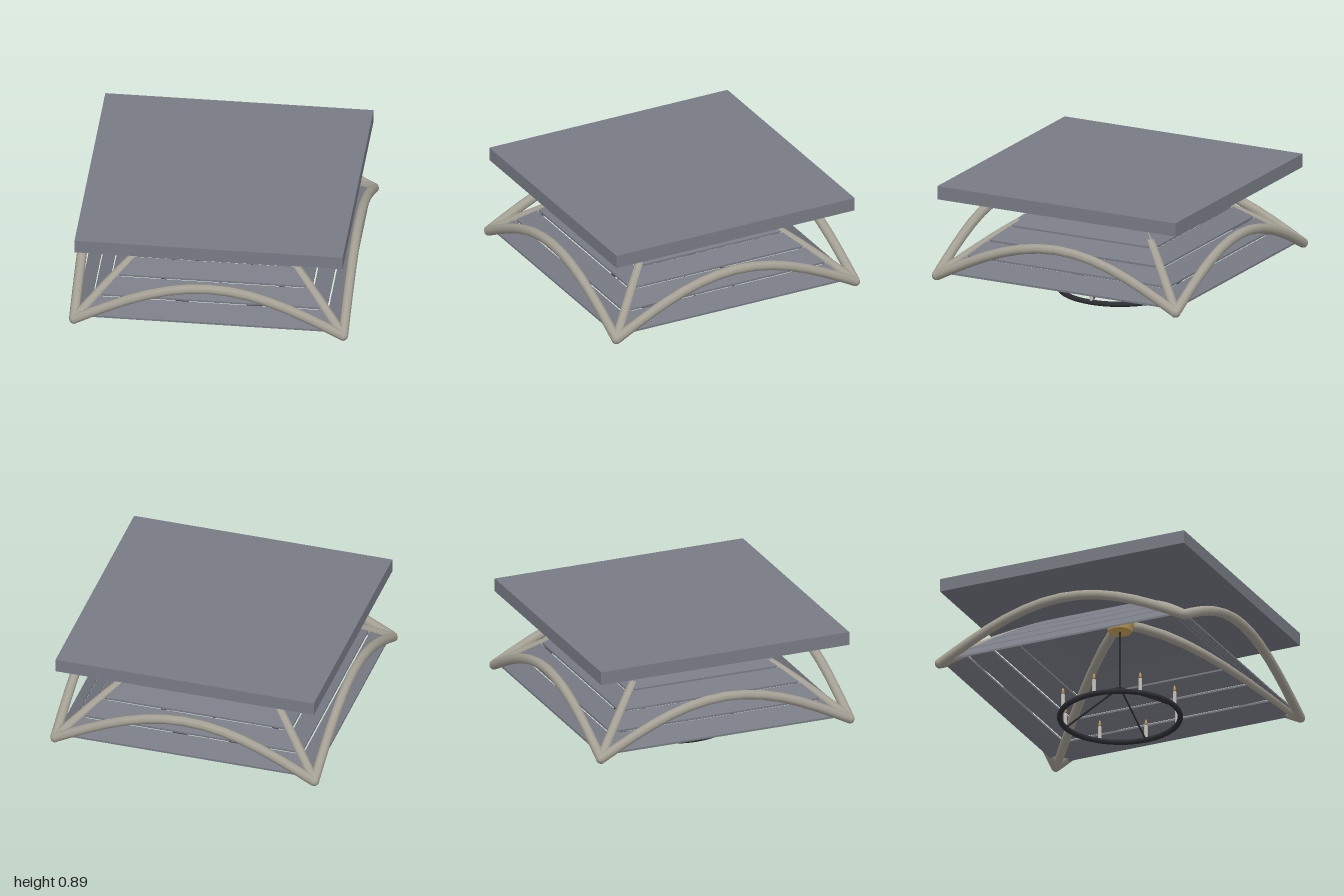
import * as THREE from 'three';

const mat = (name, color, side = THREE.FrontSide) => {
  const m = new THREE.MeshStandardMaterial({ color, side });
  m.name = name;
  return m;
};

export function createModel() {
  const slate = mat('slate', 0x787b84);
  const stone = mat('stone', 0xa5a195, THREE.DoubleSide);
  const iron = mat('iron', 0x2e2f34);
  const brass = mat('brass', 0xc9a659);
  const wax = mat('wax', 0xc9c6bd);

  const model = new THREE.Group();
  const add = (parent, name, geo, material, x = 0, y = 0, z = 0) => {
    const mesh = new THREE.Mesh(geo, material);
    mesh.name = name;
    mesh.position.set(x, y, z);
    parent.add(mesh);
    return mesh;
  };
  const group = (name) => {
    const g = new THREE.Group();
    g.name = name;
    model.add(g);
    return g;
  };

  const HALF = 0.963, TUBE = 0.036, FOOT = 0.225;

  // Roof slab
  add(model, 'roofSlab', new THREE.BoxGeometry(1.92, 0.098, 1.92), slate, 0, 0.839, 0);

  // Cosine-shaped arch between two opposite feet
  const archGeometry = (halfSpan, rise, segments) => {
    const pts = [];
    for (let i = 0; i <= segments; i++) {
      const t = (i / segments) * 2 - 1;
      pts.push(new THREE.Vector3(t * halfSpan, FOOT + rise * Math.cos(t * Math.PI / 2), 0));
    }
    return new THREE.TubeGeometry(new THREE.CatmullRomCurve3(pts), segments, TUBE, 8);
  };

  // Edge arches, diagonal ribs and their feet
  const ribs = group('ribs');
  const edge = archGeometry(HALF, 0.325, 14);
  const diagonal = archGeometry(HALF * Math.SQRT2, 0.525, 18);
  for (let i = 0; i < 4; i++) {
    const a = i * Math.PI / 2;
    const arch = add(ribs, 'edgeArch', edge, stone, Math.sin(a) * HALF, 0, Math.cos(a) * HALF);
    arch.rotation.y = a;
    add(ribs, 'ribFoot', new THREE.SphereGeometry(TUBE, 8, 6), stone,
      i % 2 ? HALF : -HALF, FOOT, i < 2 ? HALF : -HALF);
  }
  for (const s of [1, -1]) {
    add(ribs, 'diagonalRib', diagonal, stone).rotation.y = s * Math.PI / 4;
  }

  // Vault panels: boxes bent along the vault curve and mitred at the corners
  const vaultHeight = (r) => 0.25 + 0.55 * Math.cos(r / 0.96 * Math.PI / 2);
  const panelGeometry = (r0, r1, rows) => {
    const geo = new THREE.BoxGeometry(2, 1, 1, 1, 1, rows);
    const p = geo.attributes.position;
    for (let i = 0; i < p.count; i++) {
      const r = r0 + (r1 - r0) * (p.getZ(i) + 0.5);
      const width = Math.max(r - 0.006, 0);
      const drop = p.getY(i) > 0 ? 0 : 0.014;
      p.setXYZ(i, p.getX(i) * width, vaultHeight(r) - drop, r);
    }
    geo.computeVertexNormals();
    return geo;
  };
  const vault = group('vault');
  const bands = [[0.844, 0.952, 1], [0.727, 0.832, 1], [0.608, 0.715, 1], [0, 0.597, 7]];
  for (const [r0, r1, rows] of bands) {
    const geo = panelGeometry(r0, r1, rows);
    for (let i = 0; i < 4; i++) {
      add(vault, 'vaultPanel', geo, slate).rotation.y = i * Math.PI / 2;
    }
  }

  // Boss where the ribs meet
  add(model, 'boss', new THREE.CylinderGeometry(0.105, 0.085, 0.07, 12), brass, 0, 0.72, 0);

  // Chandelier: ring, hanging rod and stays
  const chandelier = group('chandelier');
  const RING = 0.43, RING_Y = 0.02;
  const ring = new THREE.TorusGeometry(RING, 0.02, 8, 40);
  ring.rotateX(Math.PI / 2);
  add(chandelier, 'ring', ring, iron, 0, RING_Y, 0);
  add(chandelier, 'hangingRod', new THREE.CylinderGeometry(0.006, 0.006, 0.45, 6), iron, 0, 0.475, 0);
  const apex = new THREE.Vector3(0, 0.25, 0);
  for (let i = 0; i < 4; i++) {
    const a = i * Math.PI / 2;
    const end = new THREE.Vector3(Math.sin(a) * RING, RING_Y, Math.cos(a) * RING);
    add(chandelier, 'stay',
      new THREE.TubeGeometry(new THREE.LineCurve3(apex, end), 1, 0.007, 6), iron);
  }

  // Candles with flames
  const flame = new THREE.LatheGeometry([[0, -0.025], [0.012, -0.007], [0.007, 0.01], [0, 0.028]]
    .map(([x, y]) => new THREE.Vector2(x, y)), 8);
  for (let i = 0; i < 8; i++) {
    const a = i * Math.PI / 4, x = Math.sin(a) * RING, z = Math.cos(a) * RING;
    add(chandelier, 'candle', new THREE.CylinderGeometry(0.014, 0.014, 0.1, 8), wax, x, 0.08, z);
    add(chandelier, 'flame', flame, brass, x, 0.156, z);
  }
  return model;
}
